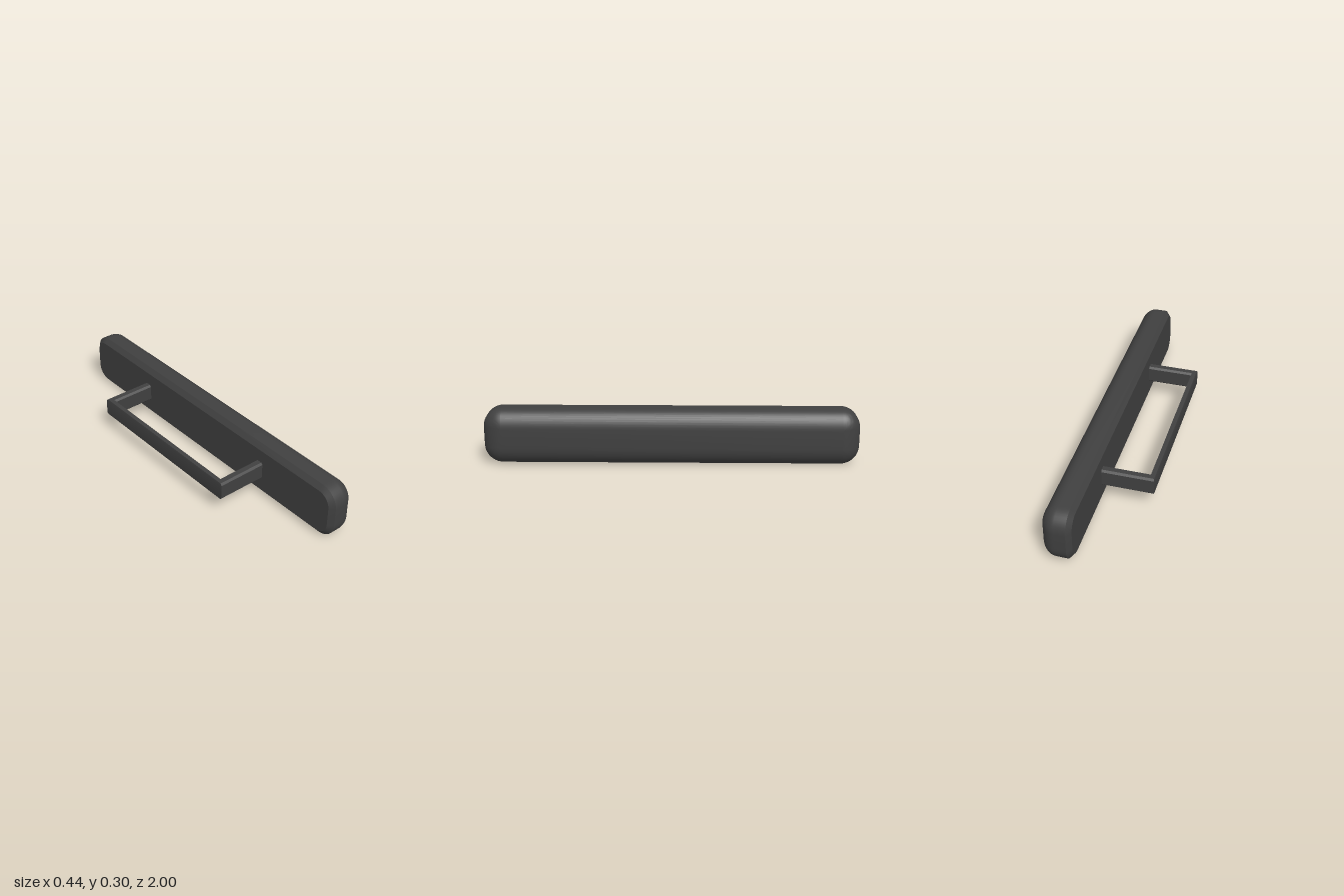
import * as THREE from 'three';
import { toCreasedNormals } from 'three/addons/utils/BufferGeometryUtils.js';

// Joins equal-sized closed rings of points into a skin, with optional flat caps.
function loft(rings, capped) {
  const n = rings[0].length, index = [];
  for (let s = 0; s < rings.length - 1; s++) {
    for (let j = 0; j < n; j++) {
      const k = (j + 1) % n;
      const a = s * n + j, b = s * n + k, c = b + n, d = a + n;
      index.push(a, b, d, b, c, d);
    }
  }
  if (capped) {
    const last = (rings.length - 1) * n;
    for (let j = 1; j < n - 1; j++) {
      index.push(0, j + 1, j, last, last + j, last + j + 1);
    }
  }
  const geometry = new THREE.BufferGeometry();
  geometry.setAttribute('position', new THREE.Float32BufferAttribute(rings.flat(2), 3));
  geometry.setIndex(index);
  return toCreasedNormals(geometry, 0.5);
}

// Rounded rectangle in the y-z plane at x, shrunk by inset.
function roundedRing(x, inset) {
  const radius = 0.1, steps = 10, ring = [];
  const corners = [[1, 1], [-1, 1], [-1, -1], [1, -1]];
  corners.forEach(([sy, sz], q) => {
    for (let i = 0; i <= steps; i++) {
      const a = (q + i / steps) * Math.PI / 2;
      const r = radius - inset;
      ring.push([x, 0.15 + sy * 0.05 + r * Math.cos(a), sz * 0.9 + r * Math.sin(a)]);
    }
  });
  return ring;
}

export function createModel() {
  const group = new THREE.Group();
  const material = new THREE.MeshStandardMaterial({ color: 0x404040 });
  const add = (name, geometry) => {
    const mesh = new THREE.Mesh(geometry, material);
    mesh.name = name;
    group.add(mesh);
  };

  // Long pad: chamfered on the handle side, fully rounded on the outer side
  const rings = [roundedRing(0.057, 0.028), roundedRing(0.08, 0)];
  const steps = 12;
  for (let i = 0; i <= steps; i++) {
    const a = i / steps * Math.PI / 2;
    rings.push(roundedRing(0.14 + 0.08 * Math.sin(a), 0.1 * (1 - Math.cos(a))));
  }
  add('pad', loft(rings, true));

  // U-shaped handle: chamfered section [depth on legs, depth on bar, y]
  const section = [
    [0, 0, 0.11], [0, 0, 0.19], [0.01, 0.002, 0.2], [0.038, 0.026, 0.2],
    [0.048, 0.028, 0.19], [0.048, 0.028, 0.11], [0.038, 0.026, 0.1], [0.01, 0.002, 0.1],
  ];
  const stations = [[1, true], [1, false], [-1, false], [-1, true]];
  add('handle', loft(stations.map(([side, atPad]) =>
    section.map(([dz, dx, y]) => [atPad ? 0.07 : -0.22 + dx, y, side * (0.5 - dz)])), false));

  return group;
}
